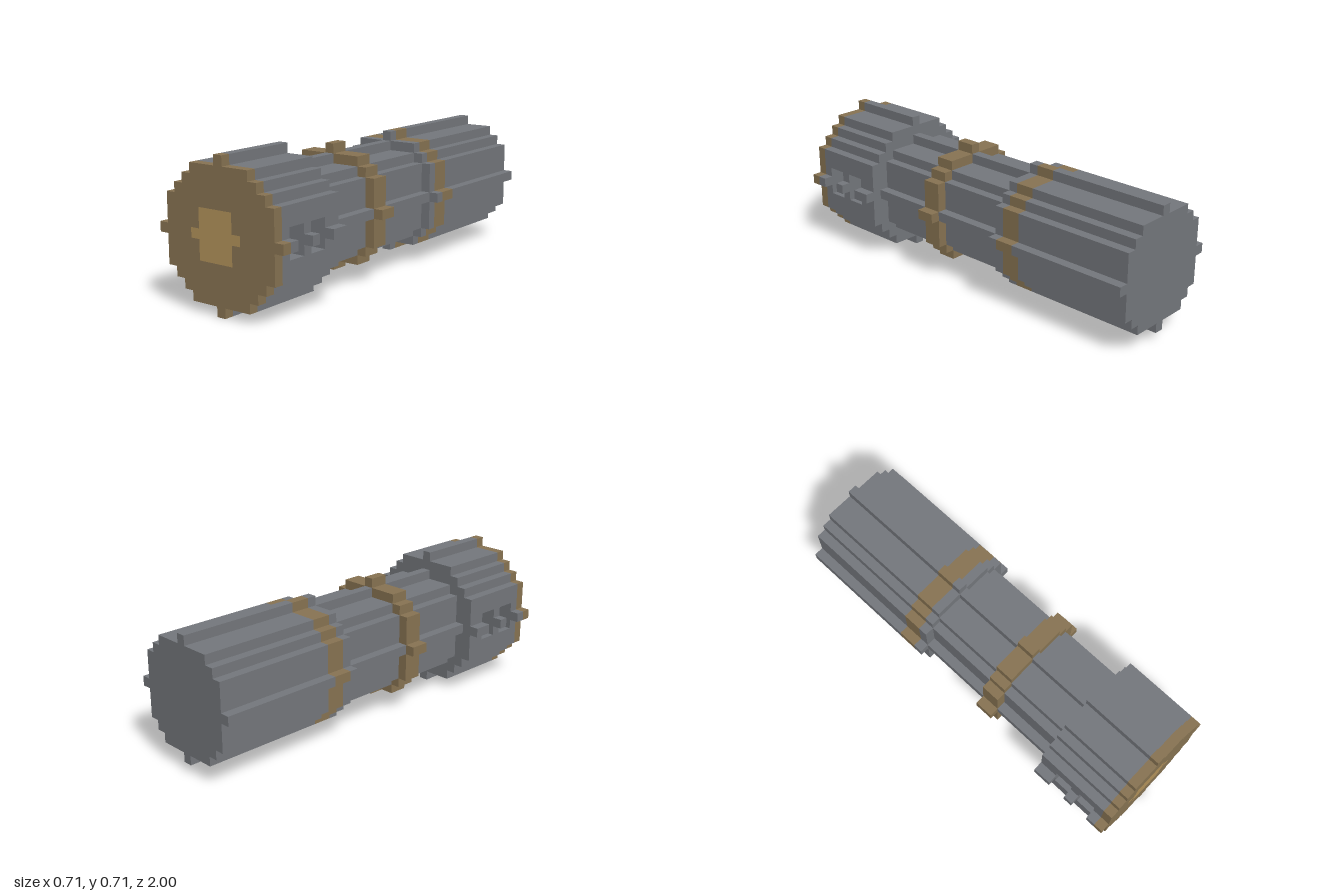
import * as THREE from 'three';

const U = 2 / 42; // one block
const AXIS = 7.5 * U; // height of the tube axis

const material = (color) => new THREE.MeshStandardMaterial({ color, flatShading: true });

// Top edge of a stepped disc, left to right, keeping only columns reaching minRow
function topEdge(r, minRow) {
  const points = [];
  for (let i = -r; i <= r; i++) {
    const h = Math.floor(Math.sqrt(r * r - i * i));
    if (h < minRow) continue;
    const last = points[points.length - 1];
    if (last && last[1] === h + 0.5) last[0] = i + 0.5; // merge equal columns
    else points.push([i - 0.5, h + 0.5], [i + 0.5, h + 0.5]);
  }
  return points;
}

const toShape = (points) => new THREE.Shape(points.map(([x, y]) => new THREE.Vector2(x * U, y * U)));

// Whole stepped disc
function discShape(r) {
  const top = topEdge(r, 0);
  return toShape([...top, ...top.map(([x, y]) => [-x, -y])]);
}

// Part of the disc above (side 1) or below (side -1) the side windows
function capShape(r, side) {
  const top = topEdge(r, 2);
  const outline = [...top, [top[top.length - 1][0], 1.5], [top[0][0], 1.5]];
  return toShape(outline.map(([x, y]) => [x, y * side]));
}

export function createModel() {
  const model = new THREE.Group();
  const grey = material(0x74777c);
  const brown = material(0x877352);
  const amber = material(0xb2925a);

  const add = (name, shape, z0, z1, mat, parent = model) => {
    const geometry = new THREE.ExtrudeGeometry(shape, { depth: (z1 - z0) * U, bevelEnabled: false });
    const mesh = new THREE.Mesh(geometry, mat);
    mesh.name = name;
    mesh.position.set(0, AXIS, z0 * U);
    parent.add(mesh);
  };

  // Wide rear handle with a flush coloured band
  add('rearHandle', discShape(6), -21, -8, grey);
  add('handleBand', discShape(6), -8, -6, brown);
  add('handleCollar', discShape(6), -6, -5, grey);

  // Narrow neck with a raised ring
  add('neckRear', discShape(5), -5, 3, grey);
  add('neckRing', discShape(6), 3, 5, brown);
  add('neckFront', discShape(5), 5, 12, grey);

  // Head, pierced from side to side by two windows
  const head = new THREE.Group();
  head.name = 'head';
  model.add(head);
  for (const [z0, z1] of [[12, 14], [16, 17], [19, 20]]) add('headSection', discShape(7), z0, z1, grey, head);
  for (const z0 of [14, 17]) {
    add('windowTop', capShape(7, 1), z0, z0 + 2, grey, head);
    add('windowBottom', capShape(7, -1), z0, z0 + 2, grey, head);
  }

  // Front plate with the lens set flush into it
  const lens = toShape([
    [-2.5, 2.5], [1.5, 2.5], [1.5, 0.5], [2.5, 0.5], [2.5, -0.5], [1.5, -0.5],
    [1.5, -2.5], [-2.5, -2.5], [-2.5, -0.5], [-3.5, -0.5], [-3.5, 0.5], [-2.5, 0.5],
  ]);
  const plate = discShape(7);
  plate.holes.push(new THREE.Path(lens.getPoints()));
  add('frontPlate', plate, 20, 21, brown);
  add('lens', lens, 20, 21, amber);

  return model;
}
